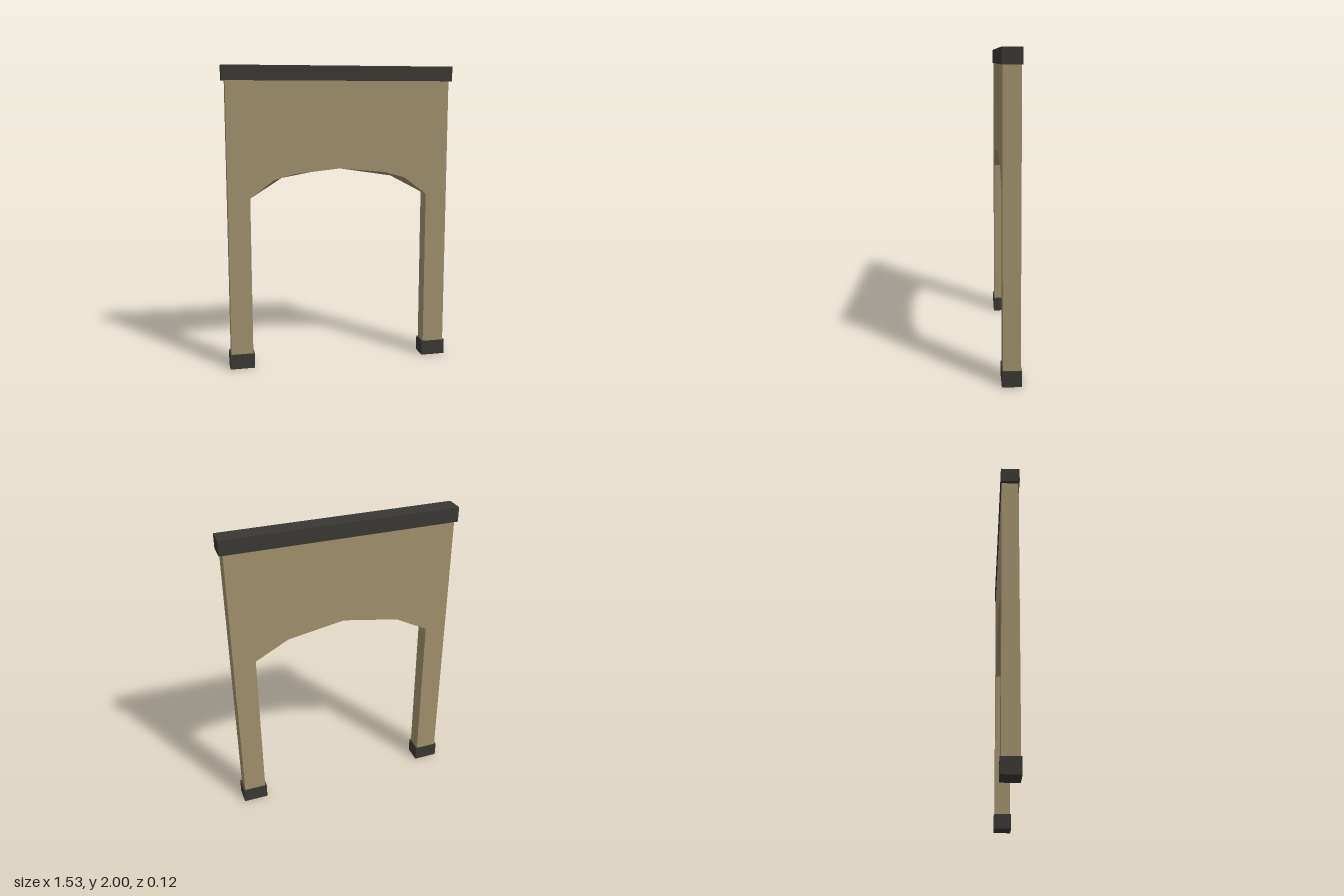
import * as THREE from 'three';

const DEPTH = 0.108;
const stone = new THREE.MeshStandardMaterial({ color: 0xa0916c, flatShading: true });
const trim = new THREE.MeshStandardMaterial({ color: 0x3a3834, flatShading: true });

function block(name, w, h, d, x, y) {
  const mesh = new THREE.Mesh(new THREE.BoxGeometry(w, h, d), trim);
  mesh.name = name;
  mesh.position.set(x, y, 0);
  return mesh;
}

// Wall with an arched opening: the front arch edge has two knees per side,
// the back edge only one, so the soffit is faceted and slightly twisted.
function wallGeometry() {
  const half = [[0.597, 0.09], [0.597, 1.15], [0.441, 1.266], [0.306, 1.303]];
  const mirrored = half.map(([x, y]) => [-x, y]).reverse();
  const outline = [[-0.742, 0.09], [0.742, 0.09], [0.742, 1.91], [-0.742, 1.91]];
  const points = [
    outline[1], outline[2], outline[3], outline[0],
    ...mirrored.reverse(), [0, 1.334], ...half.slice().reverse(),
  ];
  const shape = new THREE.Shape(points.map(([x, y]) => new THREE.Vector2(x, y)));
  const geometry = new THREE.ExtrudeGeometry(shape, { depth: DEPTH, bevelEnabled: false });
  geometry.translate(0, 0, -DEPTH / 2);

  // Merge both knees of each side into one on the back edge
  const pos = geometry.attributes.position;
  for (let i = 0; i < pos.count; i++) {
    const x = pos.getX(i), y = pos.getY(i);
    const isKnee = Math.abs(x) > 0.2 && Math.abs(x) < 0.5 && y < 1.32;
    if (pos.getZ(i) < 0 && isKnee) pos.setXY(i, Math.sign(x) * 0.376, 1.268);
  }
  geometry.computeVertexNormals();
  return geometry;
}

export function createModel() {
  const group = new THREE.Group();
  group.name = 'archway';

  const wall = new THREE.Mesh(wallGeometry(), stone);
  wall.name = 'archWall';
  group.add(wall);

  // Top beam and the two feet
  group.add(block('topBeam', 1.53, 0.096, 0.12, 0, 1.952));
  for (const [side, name] of [[1, 'leftFoot'], [-1, 'rightFoot']]) {
    group.add(block(name, 0.165, 0.1, 0.12, side * 0.67, 0.05));
  }
  return group;
}
